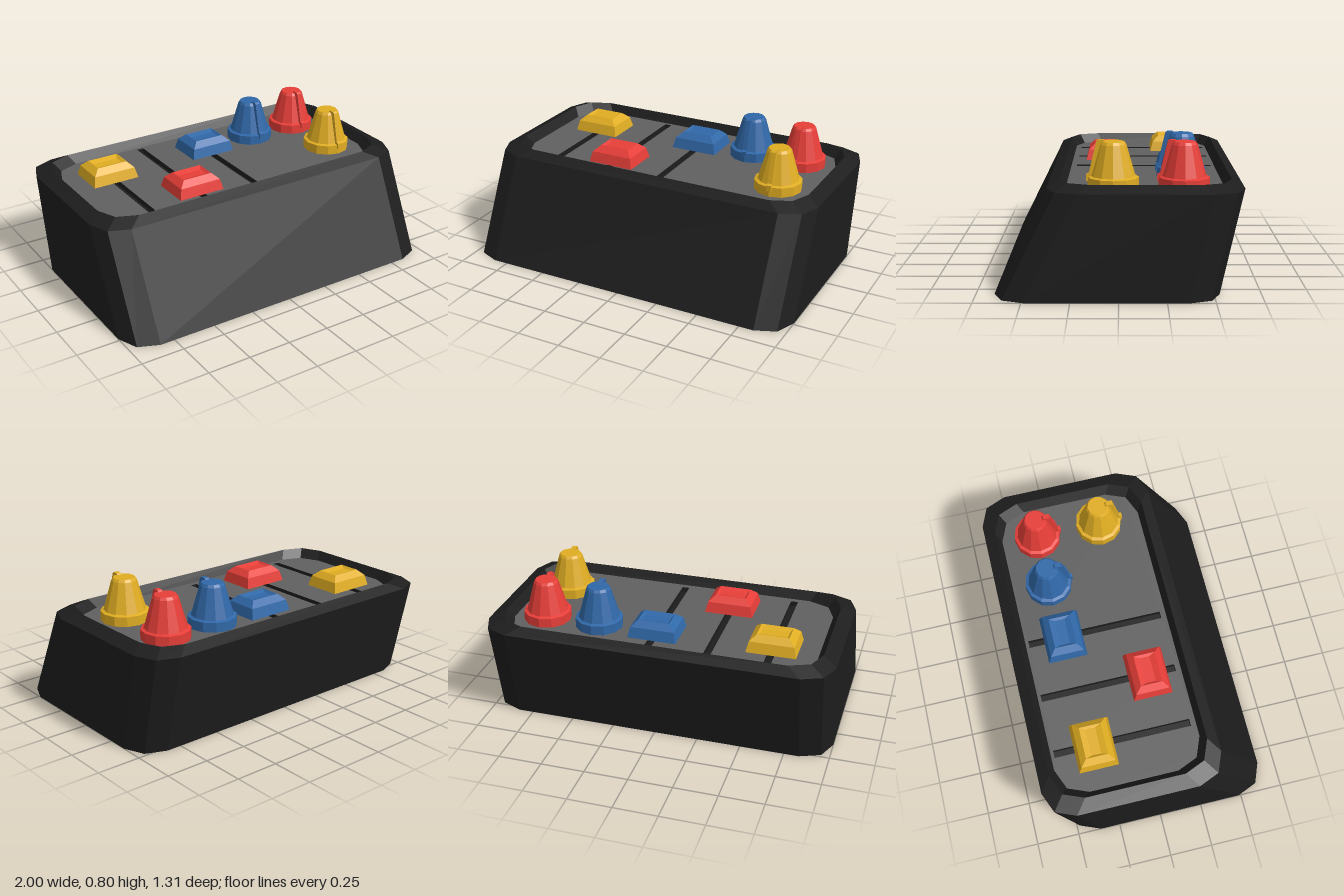
import * as THREE from 'three';

const mat = (name, color, side = THREE.FrontSide) => {
  const m = new THREE.MeshStandardMaterial({ color, side, flatShading: true });
  m.name = name;
  return m;
};

// Skins a stack of equal-length loops [[x, y, z], ...], optionally closing the last one
function loft(loops, cap = false) {
  const n = loops[0].length;
  const index = [];
  for (let k = 0; k < loops.length - 1; k++) {
    for (let i = 0; i < n; i++) {
      const j = (i + 1) % n;
      const a = k * n + i, b = k * n + j, c = a + n, d = b + n;
      index.push(a, b, d, a, d, c);
    }
  }
  const last = (loops.length - 1) * n;
  if (cap) for (let i = 1; i < n - 1; i++) index.push(last, last + i, last + i + 1);
  const g = new THREE.BufferGeometry();
  g.setAttribute('position', new THREE.Float32BufferAttribute(loops.flat(2), 3));
  g.setIndex(index);
  const flat = g.toNonIndexed();
  flat.computeVertexNormals();
  return flat;
}

// Rectangle with two-step chamfered corners, counter-clockwise from above
function outline(y, hx, zBack, zFront) {
  const c = 0.165, s = 0.048;
  const half = [
    [hx - c, y, zFront], [hx - s, y, zFront - s], [hx, y, zFront - c],
    [hx, y, zBack + c], [hx - s, y, zBack + s], [hx - c, y, zBack],
  ];
  return [...half, ...half.map(([x, py, z]) => [-x, py, z]).reverse()];
}

const rect = (y, hx, hz, x = 0, z = 0) => [
  [x - hx, y, z + hz], [x + hx, y, z + hz], [x + hx, y, z - hz], [x - hx, y, z - hz],
];

// Flattens a horizontal loop for use in a Shape
const flatten = (loop) => loop.map(([x, , z]) => new THREE.Vector2(x, -z));

export function createModel() {
  const model = new THREE.Group();
  const black = mat('black casing', 0x1d1d1d, THREE.DoubleSide);
  const grey = mat('grey panel', 0x606060, THREE.DoubleSide);
  const yellow = mat('yellow', 0xe0ad22);
  const red = mat('red', 0xe83e38);
  const blue = mat('blue', 0x3068a8);

  const add = (name, geometry, material, parent = model) => {
    const mesh = new THREE.Mesh(geometry, material);
    mesh.name = name;
    parent.add(mesh);
    return mesh;
  };

  const floor = 0.547;
  const panelEdge = outline(floor, 0.883, -0.557, 0.28);

  // Slanted hollow casing, open underneath, with a bevelled rim
  add('casing', loft([
    outline(0, 1, -0.53, 0.653),
    outline(0.566, 1, -0.653, 0.373),
    outline(0.6, 0.92, -0.59, 0.31),
    panelEdge,
  ]), black);

  // Recessed control panel with three sunken slider slots
  const slotX = [-0.63, -0.295, 0.04];
  const panelShape = new THREE.Shape(flatten(panelEdge));
  for (const x of slotX) {
    const slot = (y) => rect(y, 0.021, 0.393, x, -0.145);
    panelShape.holes.push(new THREE.Path(flatten(slot(floor))));
    add('sliderSlot', loft([slot(floor), slot(floor - 0.03)], true), black);
  }
  const panelGeometry = new THREE.ShapeGeometry(panelShape).rotateX(-Math.PI / 2);
  add('panel', panelGeometry, grey).position.y = floor;

  // Slider caps: stepped pyramids with a shallow finger groove
  const capGeometry = loft([
    rect(floor, 0.14, 0.113),
    rect(0.607, 0.126, 0.097),
    rect(0.64, 0.09, 0.062),
    rect(0.628, 0.076, 0.028),
  ], true);
  [[yellow, -0.31], [red, 0.085], [blue, -0.335]].forEach(([m, z], i) => {
    add('sliderCap', capGeometry, m).position.set(slotX[i], 0, z);
  });

  // Knob body: flange, tapered sides and flat top
  const knobProfile = [
    [0.136, floor], [0.136, 0.602], [0.118, 0.608], [0.07, 0.775], [0.06, 0.79], [0, 0.79],
  ].map(([r, y]) => new THREE.Vector2(r, y));
  const knobGeometry = new THREE.LatheGeometry(knobProfile, 12);

  // Pointer fin: side profile running down the front of the knob
  const finShape = new THREE.Shape([
    [0.04, 0.58], [0.143, 0.58], [0.143, 0.615], [0.128, 0.622], [0.088, 0.792], [0.078, 0.8], [0.05, 0.8], [0.04, 0.79],
  ].map(([z, y]) => new THREE.Vector2(z, y)));
  const finGeometry = new THREE.ExtrudeGeometry(finShape, { depth: 0.028, bevelEnabled: false });
  finGeometry.rotateY(-Math.PI / 2).translate(0.014, 0, 0);

  for (const [m, x, z] of [[blue, 0.38, -0.345], [red, 0.695, -0.345], [yellow, 0.695, 0.03]]) {
    const knob = new THREE.Group();
    knob.name = 'knob';
    knob.position.set(x, 0, z);
    add('knobBody', knobGeometry, m, knob);
    add('knobPointer', finGeometry, m, knob);
    model.add(knob);
  }

  return model;
}
